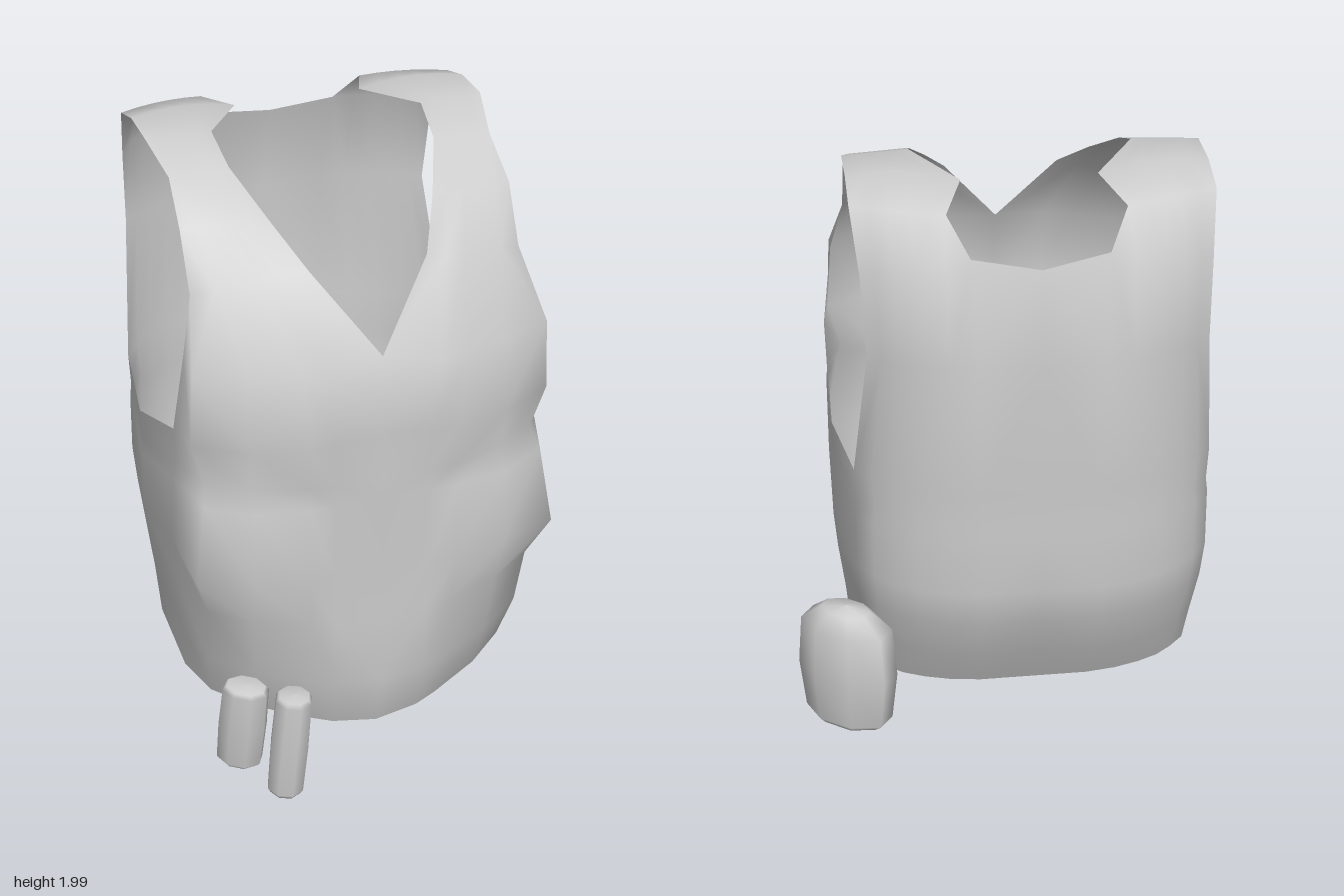
import * as THREE from 'three';
import { mergeVertices } from 'three/addons/utils/BufferGeometryUtils.js';

const material = new THREE.MeshStandardMaterial({ color: 0xcccccc, side: THREE.DoubleSide });
const CENTRE = -0.07; // the vest's own mirror plane
const lerp = THREE.MathUtils.lerp;

// Adds a grid of [x, y, z] points and its mirror image to a triangle list
function addGrid(out, rows) {
  const tri = (a, b, c) => {
    out.push(...a, ...b, ...c);
    for (const p of [a, c, b]) out.push(-p[0], p[1], p[2]);
  };
  for (let r = 0; r + 1 < rows.length; r++)
    for (let c = 0; c + 1 < rows[r].length; c++) {
      const a = rows[r][c], b = rows[r][c + 1], d = rows[r + 1][c + 1], e = rows[r + 1][c];
      tri(a, b, d);
      tri(a, d, e);
    }
}

// Half torso, 14 columns: 5 front, 2 side, 7 back
const columnX = [0, 0.15, 0.23, 0.4, 0.55, 0.58, 0.588, 0.54, 0.49, 0.435, 0.365, 0.28, 0.18, 0];
const backZ = [-0.405, -0.47, -0.525, -0.565, -0.597, -0.615, -0.615];
const hemY = [0.145, 0.16, 0.175, 0.205, 0.24, 0.28, 0.33, 0.34, 0.34, 0.34, 0.34, 0.34, 0.34, 0.34];
const topY = [1.22, 1.22, 1.22, 1.22, 1.23, 1.23, 1.085, 1.1, 1.1, 1.1, 1.1, 1.1, 1.1, 1.1];
// Height fraction, width scale, depth scale of the back, front depths, half width at the front corner
const torsoLevels = [
  [0, 0.93, 0.75, [0.48, 0.465, 0.44, 0.365, 0.285], 0.485],
  [0.18, 0.95, 0.86, [0.535, 0.53, 0.51, 0.44, 0.36], 0.51],
  [0.39, 0.985, 0.965, [0.53, 0.53, 0.515, 0.475, 0.41], 0.52],
  [0.55, 1.003, 1, [0.53, 0.53, 0.548, 0.525, 0.49], 0.57],
  [0.8, 1, 1, [0.535, 0.535, 0.545, 0.525, 0.46], 0.535],
  [0.86, 0.99, 1, [0.54, 0.535, 0.53, 0.48, 0.41], 0.52],
  [1, 1, 1, [0.53, 0.54, 0.555, 0.51, 0.43], 0.56],
];

function torsoRows() {
  return torsoLevels.map(([t, wide, deep, front, cornerX]) => columnX.map((x, c) => {
    const z = c < 5 ? front[c] : c === 5 ? lerp(0.18, 0.31, t) : c === 6 ? -0.07 : backZ[c - 7] * deep;
    return [c === 4 ? cornerX : x * wide, lerp(hemY[c], topY[c], t), z];
  }));
}

// Strap row of 6 points from the neck edge to the arm edge, slightly arched
function strapRow(inner, outer, archY, archZ) {
  return [0, 0.2, 0.4, 0.6, 0.8, 1].map((t) => {
    const p = inner.map((v, i) => lerp(v, outer[i], t));
    const arch = 4 * t * (1 - t);
    return [p[0], p[1] + archY * arch, p[2] + archZ * arch];
  });
}

function vestGeometry() {
  const out = [];
  const torso = torsoRows();
  const top = torso[torso.length - 1];
  addGrid(out, torso);

  // Chest, over the shoulder, and down the back
  const chest = [[0, 1.48, 0.52], [0.17, 1.46, 0.572], [0.25, 1.46, 0.55], [0.4, 1.46, 0.5], [0.55, 1.46, 0.435], [0.55, 1.48, 0.34]];
  const backTop = [[0.2, 1.84, -0.54], [0.27, 1.83, -0.56], [0.35, 1.82, -0.56], [0.42, 1.81, -0.54], [0.47, 1.8, -0.51], [0.51, 1.77, -0.475]];
  const backMid = [[0.18, 0.625], [0.27, 0.615], [0.345, 0.588], [0.41, 0.56], [0.46, 0.537], [0.5, 0.515]].map(([x, z]) => [x, 1.53, -z]);
  const backLow = top.slice(7, 13).reverse();
  addGrid(out, [
    top.slice(0, 6),
    chest,
    strapRow([0.18, 1.72, 0.39], [0.51, 1.65, 0.29], 0.005, 0.01),
    strapRow([0.255, 1.83, 0.23], [0.51, 1.82, 0.2], 0, 0),
    strapRow([0.32, 1.93, 0.06], [0.5, 1.92, 0.06], 0, 0),
    strapRow([0.33, 1.985, -0.08], [0.53, 1.985, -0.1], 0, 0),
    strapRow([0.2, 1.97, -0.28], [0.53, 1.985, -0.25], 0.02, 0),
    strapRow([0.26, 1.94, -0.45], [0.53, 1.95, -0.38], 0.005, -0.01),
    backTop, backMid, backLow,
  ]);
  // Middle of the back below the neckline
  addGrid(out, [
    [[0, 1.81, -0.57], backTop[0]],
    [[0, 1.53, -0.628], backMid[0]],
    [top[13], backLow[0]],
  ]);

  const geometry = new THREE.BufferGeometry();
  geometry.setAttribute('position', new THREE.Float32BufferAttribute(out, 3));
  const welded = mergeVertices(geometry, 1e-4);
  welded.computeVertexNormals();
  return welded;
}

// Eight-sided soft pouch, profile given as [radius, height] from 0 to 1
function pouch(name, profile, size, position, rotation) {
  const points = profile.map(([r, y]) => new THREE.Vector2(r * 0.54, y - 0.5));
  const geometry = new THREE.LatheGeometry(points, 8, Math.PI / 8);
  geometry.scale(...size);
  const mesh = new THREE.Mesh(geometry, material);
  mesh.name = name;
  mesh.position.set(...position);
  mesh.rotation.set(...rotation);
  return mesh;
}

export function createModel() {
  const group = new THREE.Group();
  group.name = 'tacticalVest';

  const vest = new THREE.Mesh(vestGeometry(), material);
  vest.name = 'vestShell';
  vest.position.x = CENTRE;
  group.add(vest);

  // Hip pouch on the left rear corner
  const hipProfile = [[0, 0], [0.72, 0.01], [0.88, 0.06], [1, 0.45], [0.92, 0.84], [0.5, 0.97], [0, 1]];
  group.add(pouch('hipPouch', hipProfile, [0.31, 0.42, 0.19], [0.51, 0.435, -0.447], [0, -0.62, 0]));

  // Two slim pouches hanging at the front right
  const slimProfile = [[0, 0], [0.8, 0.01], [0.95, 0.05], [1, 0.5], [0.95, 0.95], [0.8, 0.99], [0, 1]];
  group.add(pouch('frontPouchInner', slimProfile, [0.115, 0.37, 0.12], [-0.385, 0.195, 0.57], [0, -0.3, -0.09]));
  group.add(pouch('frontPouchOuter', slimProfile, [0.145, 0.31, 0.11], [-0.503, 0.22, 0.457], [0.08, -0.5, -0.07]));
  return group;
}
